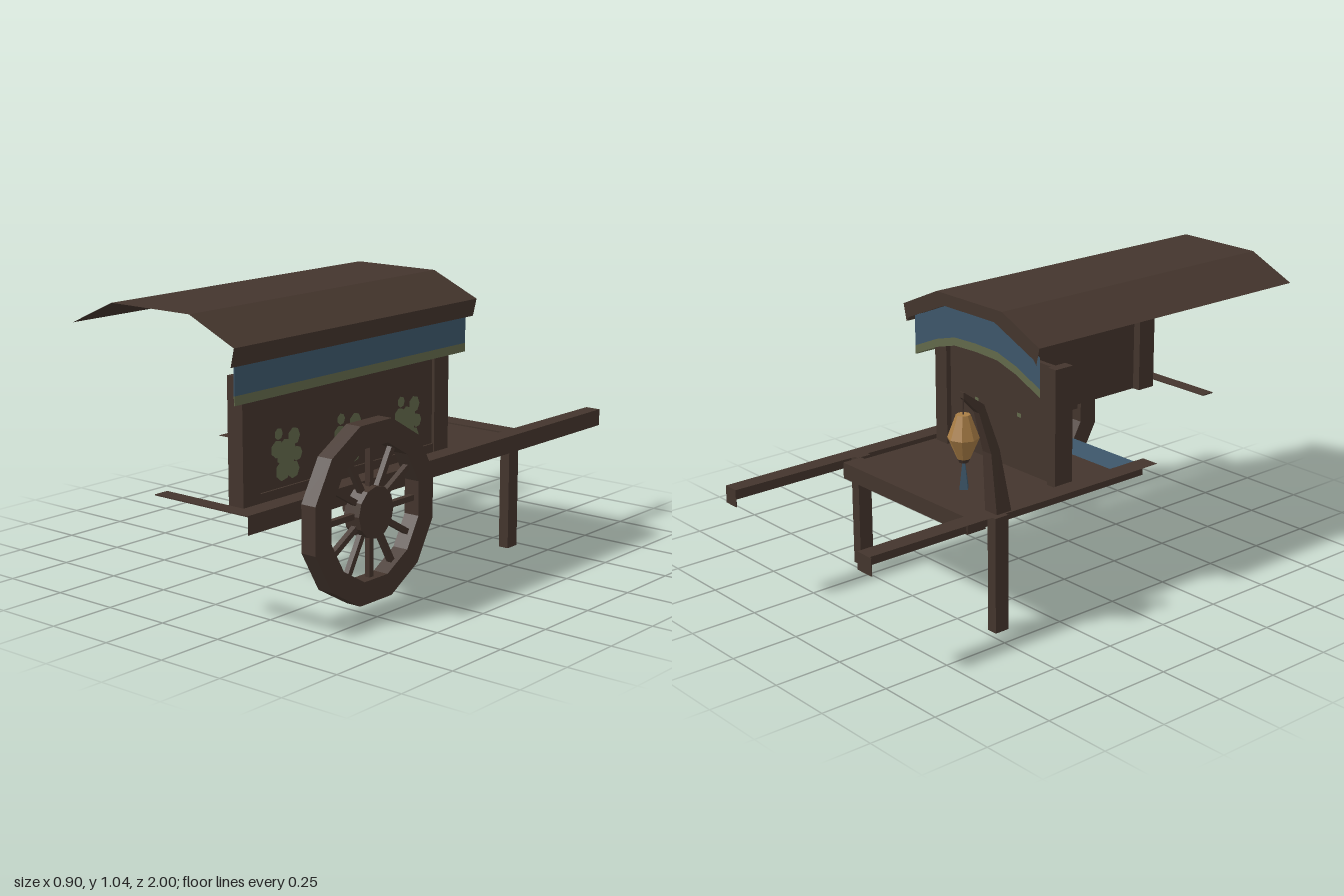
import * as THREE from 'three';

export function createModel() {
  const root = new THREE.Group();
  const mat = (name, color) => {
    const m = new THREE.MeshStandardMaterial({ color, side: THREE.DoubleSide, flatShading: true });
    m.name = name;
    return m;
  };
  const wood = mat('dark wood', 0x44352d);
  const blue = mat('blue cloth', 0x3d576b);
  const green = mat('olive trim', 0x62694b);
  const gold = mat('lantern gold', 0xa87d45);

  const add = (name, geometry, material, parent = root) => {
    const m = new THREE.Mesh(geometry, material);
    m.name = name;
    parent.add(m);
    return m;
  };
  // Box given by its min and max on each axis
  const box = (name, x0, x1, y0, y1, z0, z1, material = wood) => {
    const m = add(name, new THREE.BoxGeometry(x1 - x0, y1 - y0, z1 - z0), material);
    m.position.set((x0 + x1) / 2, (y0 + y1) / 2, (z0 + z1) / 2);
    return m;
  };
  // Loft through cross-sections with equal point counts
  const loft = (rows, closed = false) => {
    const n = rows[0].length, index = [];
    for (let r = 0; r < rows.length - 1; r++) {
      for (let i = 0; i < (closed ? n : n - 1); i++) {
        const j = (i + 1) % n, a = r * n + i, b = r * n + j;
        index.push(a, b, b + n, a, b + n, a + n);
      }
    }
    const g = new THREE.BufferGeometry();
    g.setAttribute('position', new THREE.Float32BufferAttribute(rows.flat(2), 3));
    g.setIndex(index);
    const flat = g.toNonIndexed();
    flat.computeVertexNormals();
    return flat;
  };
  const atZ = (line, z) => line.map(([x, y]) => [x, y, z]);
  const shape = (pts) => new THREE.Shape(pts.map(([x, y]) => new THREE.Vector2(x, y)));

  // Roof sheet, right fascia and rear rim
  const outer = [[-0.39, 0.955], [-0.2, 1.04], [0.15, 1.04], [0.34, 0.955]];
  add('roof', loft([atZ(outer, 1), atZ(outer, -0.25)].reverse()), wood);
  const fascia = [[0.34, 0.955], [0.325, 0.892]];
  add('roofFascia', loft([atZ(fascia, -0.25), atZ(fascia, 1)]), wood);
  const rim = [[-0.375, 0.892], ...outer, [0.325, 0.892], [0.31, 0.91], [0.11, 0.995], [-0.16, 0.995], [-0.36, 0.91]];
  add('roofRearRim', new THREE.ShapeGeometry(shape(rim)), wood).position.z = -0.25;

  // Cloth valance with trim along the right and the arched rear
  const top = [[-0.36, 0.91], [-0.26, 0.953], [-0.16, 0.995], [-0.025, 0.995], [0.11, 0.995], [0.21, 0.953], [0.312, 0.91]];
  const hem = [[-0.36, 0.768], [-0.24, 0.82], [-0.14, 0.848], [-0.025, 0.852], [0.09, 0.848], [0.19, 0.82], [0.312, 0.768]];
  const seam = hem.map(([x, y]) => [x, y + 0.03]);
  add('rearValance', loft([atZ(top, -0.22), atZ(seam, -0.22)]), blue);
  add('rearValanceTrim', loft([atZ(seam, -0.22), atZ(hem, -0.22)]), green);
  box('sideValance', 0.31, 0.314, 0.797, 0.912, -0.22, 0.972, blue);
  box('sideValanceTrim', 0.31, 0.314, 0.766, 0.797, -0.22, 0.972, green);

  // Cabin walls and corner posts
  box('rearWall', -0.32, 0.25, 0.41, 0.845, -0.12, -0.1);
  box('sideWall', 0.27, 0.29, 0.42, 0.85, -0.1, 0.88);
  box('sideWallSill', 0.27, 0.297, 0.41, 0.455, -0.1, 0.88);
  box('rearLeftPost', -0.35, -0.31, 0.41, 0.847, -0.14, -0.06);
  box('rearRightPost', 0.237, 0.301, 0.41, 0.847, -0.14, -0.06);
  box('frontRightPost', 0.237, 0.301, 0.41, 0.847, 0.845, 0.925);

  // Painted blossoms on the side wall
  const blossom = (name, petals, size) => {
    const g = new THREE.Group();
    g.name = name;
    petals.forEach(([x, y, r], i) => {
      const p = add('petal', new THREE.CircleGeometry(r * size, 7), green, g);
      p.position.set(x * size, y * size, i * 0.0003);
    });
    root.add(g);
    return g;
  };
  const petals = [[0, 0, 0.05], [-0.045, 0.02, 0.03], [0.035, 0.05, 0.03], [0.05, -0.01, 0.025],
    [-0.02, -0.055, 0.035], [0.03, -0.06, 0.03], [-0.04, 0.07, 0.02]];
  for (const [z, y] of [[0.71, 0.565], [0.4, 0.56], [0.08, 0.565]]) {
    const b = blossom('sideBlossom', petals, 1);
    b.position.set(0.2925, y, z);
    b.rotation.y = Math.PI / 2;
  }
  // Small dots on the rear wall
  for (const [x, y] of [[-0.14, 0.627], [0.09, 0.627], [-0.2, 0.567], [-0.09, 0.567], [0.043, 0.567], [0.152, 0.567]]) {
    const high = y > 0.6;
    const w = high ? 0.036 : 0.026, h = high ? 0.028 : 0.036;
    add('rearWallDot', new THREE.PlaneGeometry(w, h), green).position.set(x, y, -0.098);
    if (high) add('rearWallOuterDot', new THREE.PlaneGeometry(0.02, 0.015), green).position.set(x, y, -0.1215);
  }

  // Floor, its cloth edge and the cross beam
  box('floor', -0.36, 0.312, 0.412, 0.42, -0.47, 0.13);
  box('floorCloth', -0.36, 0.312, 0.412, 0.419, 0.13, 0.25, blue);
  box('crossBeam', -0.37, 0.322, 0.365, 0.425, -0.55, -0.47);

  // Shafts: open angle section, tapering to the handles
  const shaft = (name, x0, x1, end) => add(name, loft([
    [[x0, 0.433, end], [x1, 0.433, end], [x1, 0.37, end]],
    [[x0, 0.433, -0.3], [x1, 0.433, -0.3], [x1, 0.37, -0.3]],
    [[x0 + 0.01, 0.433, -1], [x1, 0.433, -1], [x1, 0.37, -1]]].reverse()), wood);
  shaft('rightShaft', 0.32, 0.39, 1);
  shaft('leftShaft', -0.44, -0.367, 0.27);
  box('rightHandleEnd', 0.33, 0.39, 0.37, 0.433, -1, -0.997);
  box('leftHandleEnd', -0.44, -0.367, 0.37, 0.433, -1, -0.997);
  box('frontFootBar', -0.02, 0.39, 0.429, 0.433, 0.945, 1);

  // Prop legs
  box('leftLeg', -0.428, -0.388, 0, 0.42, -0.477, -0.42);
  box('rightLeg', 0.334, 0.374, 0, 0.42, -0.477, -0.42);

  // Wheel: twelve-sided rim, hub and spokes
  const wheel = new THREE.Group();
  wheel.name = 'wheel';
  wheel.position.set(0.39, 0.337, 0.445);
  wheel.rotation.y = Math.PI / 2;
  root.add(wheel);
  const ring = (r) => Array.from({ length: 12 }, (_, i) => {
    const a = (i + 0.5) * Math.PI / 6;
    return [r * Math.cos(a), r * Math.sin(a)];
  });
  const rimShape = shape(ring(0.317));
  rimShape.holes.push(new THREE.Path(ring(0.235).map(([x, y]) => new THREE.Vector2(x, y))));
  add('wheelRim', new THREE.ExtrudeGeometry(rimShape, { depth: 0.06, bevelEnabled: false }), wood, wheel);
  const hub = add('wheelHub', new THREE.CylinderGeometry(0.09, 0.09, 0.065, 12), wood, wheel);
  hub.rotation.x = Math.PI / 2;
  hub.position.z = 0.028;
  for (let i = 0; i < 12; i++) {
    const a = i * Math.PI / 6;
    const s = add('wheelSpoke', new THREE.BoxGeometry(0.17, 0.02, 0.02), wood, wheel);
    s.position.set(0.155 * Math.cos(a), 0.155 * Math.sin(a), 0.03);
    s.rotation.z = a;
  }

  // Curved lantern arm: [y front, z front, y back, z back, half width]
  const arm = [[0.43, -0.408, 0.43, -0.472, 0.03], [0.66, -0.452, 0.65, -0.488, 0.022],
    [0.825, -0.51, 0.8, -0.532, 0.014], [0.882, -0.59, 0.862, -0.592, 0.01]];
  add('lanternArm', loft(arm.map(([y0, z0, y1, z1, w]) => [
    [-0.4 - w, y0, z0], [-0.4 + w, y0, z0], [-0.4 + w, y1, z1], [-0.4 - w, y1, z1]]), true), wood);
  box('lanternArmTip', -0.41, -0.39, 0.862, 0.882, -0.593, -0.589);

  // Hanging lantern with cord, cap, base and tassel
  const lantern = new THREE.Group();
  lantern.name = 'lantern';
  lantern.position.set(-0.4, 0, -0.587);
  root.add(lantern);
  const turn = (name, rTop, rBottom, y0, y1, sides, material) => {
    add(name, new THREE.CylinderGeometry(rTop, rBottom, y1 - y0, sides), material, lantern).position.y = (y0 + y1) / 2;
  };
  turn('lanternCord', 0.003, 0.003, 0.805, 0.87, 4, wood);
  const body = [[0, 0.655], [0.022, 0.655], [0.053, 0.727], [0.024, 0.806], [0, 0.806]];
  add('lanternBody', new THREE.LatheGeometry(body.map(([x, y]) => new THREE.Vector2(x, y)), 8), gold, lantern);
  turn('lanternBase', 0.022, 0.016, 0.642, 0.656, 8, wood);
  turn('tassel', 0.006, 0.02, 0.55, 0.642, 4, blue);

  return root;
}
